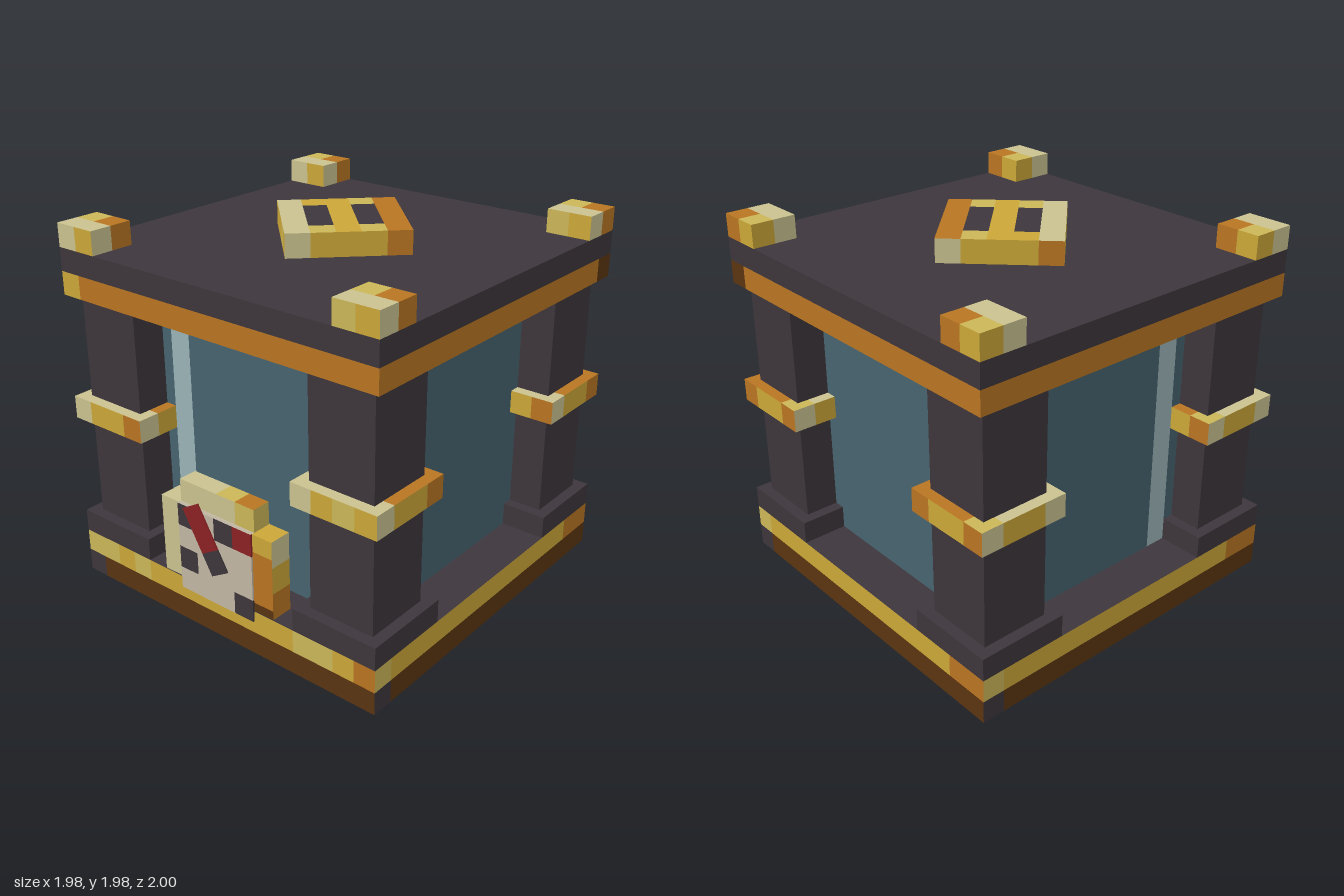
import * as THREE from 'three';
import { mergeGeometries } from 'three/addons/utils/BufferGeometryUtils.js';

const U = 0.124; // one block unit

const mat = (name, color) => {
  const m = new THREE.MeshStandardMaterial({ color });
  m.name = name;
  return m;
};

export function createModel() {
  const M = {
    d: mat('charcoal', 0x3d363c),
    c: mat('glassTeal', 0x47636e),
    w: mat('glassShine', 0x9ab3b7),
    g: mat('gold', 0xcba738),
    l: mat('lightGold', 0xcbb657),
    p: mat('paleGold', 0xcac28f),
    o: mat('orange', 0xb97522),
    b: mat('brown', 0x5a3410),
    r: mat('red', 0x8c2123),
    s: mat('stone', 0xc2b7a3),
  };
  const model = new THREE.Group();
  model.name = 'lanternBlock';
  const body = new THREE.Group();
  body.name = 'body';
  body.position.z = -0.007;
  model.add(body);

  // Box whose faces are grids of colour letters, one string per row, read from outside.
  // Faces not listed use the fill colour. Sizes and centre are in block units.
  function block(name, size, centre, fill, faces = {}, parent = body) {
    const [w, h, d] = size.map((v) => v * U);
    const sides = [
      ['front', w, h, d, 0, 0],
      ['right', d, h, w, 0, Math.PI / 2],
      ['back', w, h, d, 0, Math.PI],
      ['left', d, h, w, 0, -Math.PI / 2],
      ['top', w, d, h, -Math.PI / 2, 0],
      ['bottom', w, d, h, Math.PI / 2, 0],
    ];
    const byColour = {};
    for (const [side, fw, fh, depth, rx, ry] of sides) {
      const rows = faces[side] || [fill];
      const ch = fh / rows.length;
      rows.forEach((row, j) => {
        const cw = fw / row.length;
        // neighbouring cells of one colour become a single face
        for (let i = 0, n; i < row.length; i += n) {
          n = 1;
          while (row[i + n] === row[i]) n++;
          const cell = new THREE.PlaneGeometry(cw * n, ch);
          cell.translate((i + n / 2) * cw - fw / 2, fh / 2 - (j + 0.5) * ch, depth / 2);
          cell.rotateX(rx).rotateY(ry);
          (byColour[row[i]] ||= []).push(cell);
        }
      });
    }
    const keys = Object.keys(byColour);
    const geometry = mergeGeometries(keys.map((k) => mergeGeometries(byColour[k])), true);
    const mesh = new THREE.Mesh(geometry, keys.map((k) => M[k]));
    mesh.name = name;
    mesh.position.set(...centre.map((v) => v * U));
    parent.add(mesh);
    return mesh;
  }

  // Base and roof slabs
  const foot = 'd' + 'b'.repeat(15);
  const baseSide = ['l' + 'g'.repeat(13) + 'oo', foot];
  block('base', [16, 2, 16], [0, 1, 0], 'd', {
    front: ['llglggggggggllgo', foot],
    right: baseSide, back: baseSide, left: baseSide,
  });
  const rim = 'o'.repeat(15);
  block('roof', [16, 2, 16], [0, 14, 0], 'd', {
    front: ['d', 'g' + rim], right: ['d', rim + 'b'],
    back: ['d', 'b' + rim], left: ['d', rim + 'o'],
  });

  // Glass core with shine streaks
  const streak = 'ccwccccccccc';
  const mirrored = [...streak].reverse().join('');
  block('glassCore', [12, 11, 12], [0, 7.5, 0], 'c', {
    front: ['w', ...Array(10).fill(streak)],
    right: [streak], back: [mirrored], left: [mirrored],
  });

  // Corner pillars with plinth, gold band and roof cap
  for (const sx of [-1, 1]) {
    for (const sz of [-1, 1]) {
      const x = 6 * sx, z = 6 * sz;
      block('pillar', [3, 11, 3], [x, 7.5, z], 'd');
      block('pillarPlinth', [4, 1, 4], [x, 2.5, z], 'd');
      block('pillarBand', [4, 1, 4], [x, 8, z], 'o', {
        front: [sx > 0 && sz > 0 ? 'pglg' : 'pggo'],
        right: ['pggo'], back: ['oggo'], left: ['pggp'],
        top: ['looo', 'pggo', 'pggo', 'pppp'],
      });
      block('roofCap', [2, 1, 2], [7 * sx, 15.5, 7 * sz], 'o', {
        front: [sx > 0 ? 'lg' : 'pg'], right: ['po'], back: ['og'], left: ['gp'],
        top: ['lo', 'pp'],
      });
    }
  }

  // Diamond ornament on the roof
  const diamond = block('roofOrnament', [5, 1, 5], [0, 15.5, 0], 'g', {
    top: ['ooooo', 'ldddl', 'ggggg', 'gdddl', 'ppppp'],
    front: ['ggglg'], right: ['pgggo'], back: ['ogggo'], left: ['pgggo'],
  });
  diamond.rotation.y = -Math.PI / 4;

  // Front panel: frame, stone face and tilted handle
  const panel = new THREE.Group();
  panel.name = 'frontPanel';
  body.add(panel);
  block('panelCore', [4, 3.5, 1], [0, 3.77, 7.45], 's', {}, panel);
  block('frameLeft', [1, 3.5, 1], [-2.5, 3.77, 7.48], 'p', {}, panel);
  block('frameRight', [1, 3.5, 1], [2.5, 3.77, 7.48], 'o', {
    front: ['ggg', 'ooo', 'ooo', 'ooo', 'bbb'].flatMap((r, i) => (i === 4 ? [r] : [r, r])),
    right: ['p', 'g', 'o'], top: ['g'],
  }, panel);
  block('frameTop', [4, 1, 0.85], [0, 6.02, 7.42], 'p', {
    front: ['pppl'], right: ['l'], top: ['pplo'],
  }, panel);
  const face = ['dsdr', 'ssss', 'dsss', 'sssd'];
  block('panelFace', [4, 4, 0.08], [0, 3.53, 8.02], 's', {
    front: face, right: ['r', 's', 's', 'd'], left: ['d', 's', 'd', 's'], bottom: ['sssd'],
  }, panel);
  const handle = block('panelHandle', [1, 3, 0.06], [-0.47, 4.36, 8.09], 'd', {
    front: ['r', 'r', 'd'], right: ['r', 'r', 'd'], left: ['r', 'r', 'd'], top: ['r'],
  }, panel);
  handle.rotation.z = Math.PI / 6;

  return model;
}
